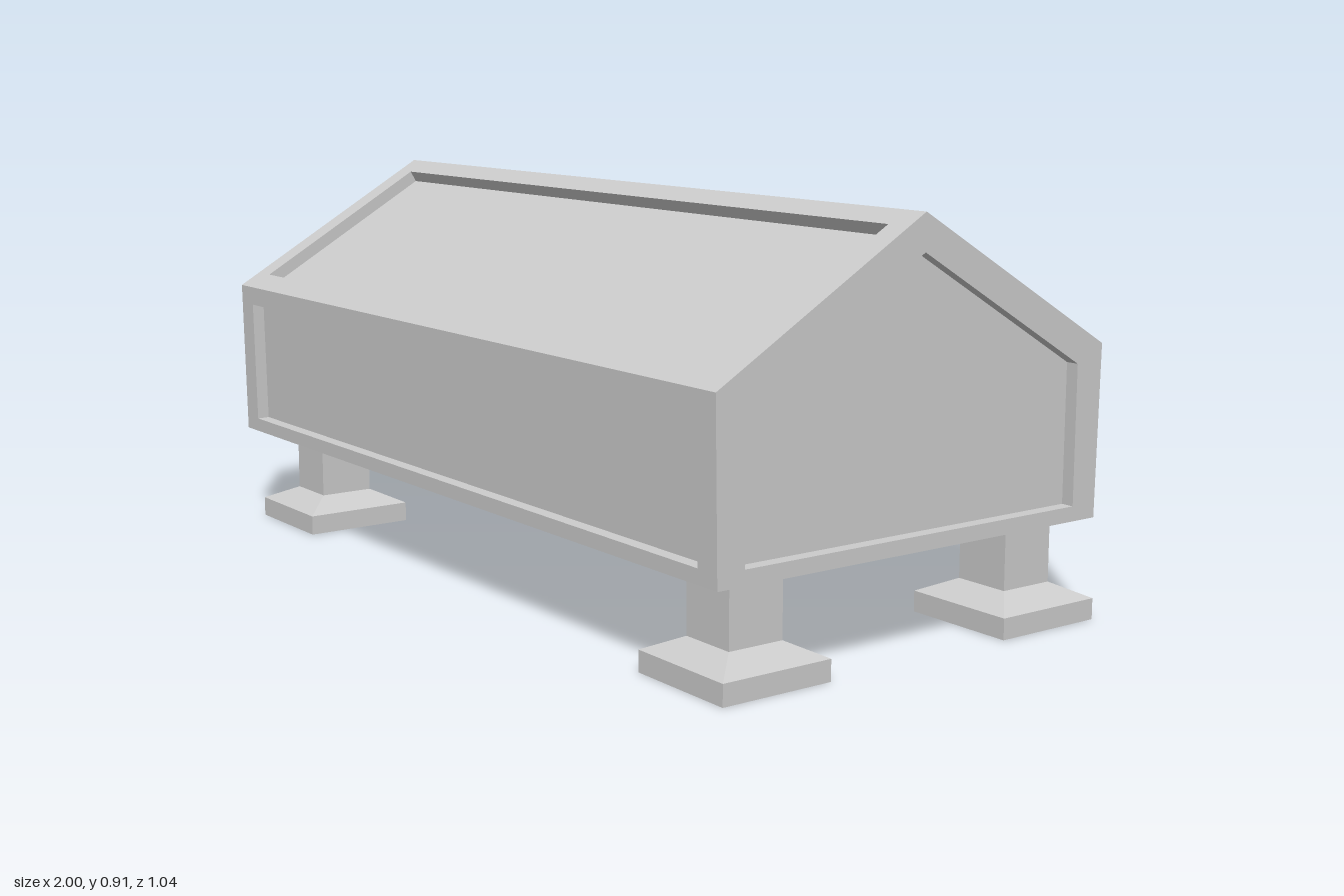
import * as THREE from 'three';

const material = new THREE.MeshStandardMaterial({ color: 0xcccccc, flatShading: true });
const HALF = 0.997; // half length of the body
const DEPTH = 0.03; // depth of the recessed panels

// Mesh from convex polygons, corners counter-clockwise seen from outside
function polyMesh(name, polygons) {
  const points = [];
  for (const p of polygons) {
    for (let i = 1; i < p.length - 1; i++) points.push(p[0], p[i], p[i + 1]);
  }
  const geometry = new THREE.BufferGeometry().setFromPoints(points);
  geometry.computeVertexNormals();
  const mesh = new THREE.Mesh(geometry, material);
  mesh.name = name;
  return mesh;
}

// A flat face with a raised border around a recessed panel
function framedFace(name, outer, inner) {
  const normal = outer[1].clone().sub(outer[0]).cross(outer[2].clone().sub(outer[0])).normalize();
  const floor = inner.map((p) => p.clone().addScaledVector(normal, -DEPTH));
  const border = [];
  for (let i = 0; i < outer.length; i++) {
    const j = (i + 1) % outer.length;
    border.push([outer[i], outer[j], inner[j], inner[i]]);
    border.push([inner[i], inner[j], floor[j], floor[i]]);
  }
  const group = new THREE.Group();
  group.name = name;
  group.add(polyMesh(name + 'Frame', border), polyMesh(name + 'Panel', [floor]));
  return group;
}

// Lengthwise quad between two profile points [z, y], trimmed by fractions t0..t1
function strip(a, b, halfX, t0 = 0, t1 = 1) {
  const at = (x, t) => new THREE.Vector3(
    x, THREE.MathUtils.lerp(a[1], b[1], t), THREE.MathUtils.lerp(a[0], b[0], t));
  return [at(-halfX, t0), at(halfX, t0), at(halfX, t1), at(-halfX, t1)];
}

// Splayed foot pad with a square post
function createLeg(name, x, z) {
  const leg = new THREE.Group();
  leg.name = name;
  const pad = new THREE.Mesh(new THREE.BoxGeometry(0.27, 0.047, 0.27), material);
  pad.name = 'footPad';
  pad.position.y = 0.0235;
  const taper = new THREE.Mesh(
    new THREE.CylinderGeometry(0.067 * Math.SQRT2, 0.135 * Math.SQRT2, 0.033, 4, 1, true), material);
  taper.name = 'footTaper';
  taper.rotation.y = Math.PI / 4;
  taper.position.y = 0.0635;
  const post = new THREE.Mesh(new THREE.BoxGeometry(0.134, 0.148, 0.134), material);
  post.name = 'post';
  post.position.y = 0.154;
  leg.add(pad, taper, post);
  leg.position.set(x, 0, z);
  return leg;
}

export function createModel() {
  const model = new THREE.Group();
  model.name = 'gabledBox';

  // Gabled cross-section [z, y]: front bottom, front eave, ridge, back eave, back bottom
  const profile = [[0.513, 0.227], [0.52, 0.605], [0, 0.91], [-0.52, 0.605], [-0.513, 0.227]];
  const endPanel = [[0.447, 0.26], [0.447, 0.567], [0, 0.83], [-0.447, 0.567], [-0.447, 0.26]];

  // Long walls and roof slopes
  const sides = [
    ['frontWall', 0.087, 0.88],
    ['frontRoof', 0.096, 0.913],
    ['backRoof', 0.087, 0.904],
    ['backWall', 0.12, 0.913],
  ];
  sides.forEach(([name, t0, t1], i) => {
    const a = profile[i], b = profile[i + 1];
    model.add(framedFace(name, strip(a, b, HALF), strip(a, b, 0.937, t0, t1)));
  });
  model.add(polyMesh('underside', [strip(profile[4], profile[0], HALF)]));

  // Gable ends
  for (const side of [1, -1]) {
    const loop = (list) => {
      const points = list.map(([z, y]) => new THREE.Vector3(side * HALF, y, z));
      return side > 0 ? points.reverse() : points;
    };
    model.add(framedFace(side > 0 ? 'leftGable' : 'rightGable', loop(profile), loop(endPanel)));
  }

  // Four legs
  for (const [sideName, x] of [['Left', 0.863], ['Right', -0.807]]) {
    for (const [endName, z] of [['front', 0.364], ['back', -0.384]]) {
      model.add(createLeg(endName + sideName + 'Leg', x, z));
    }
  }
  return model;
}
